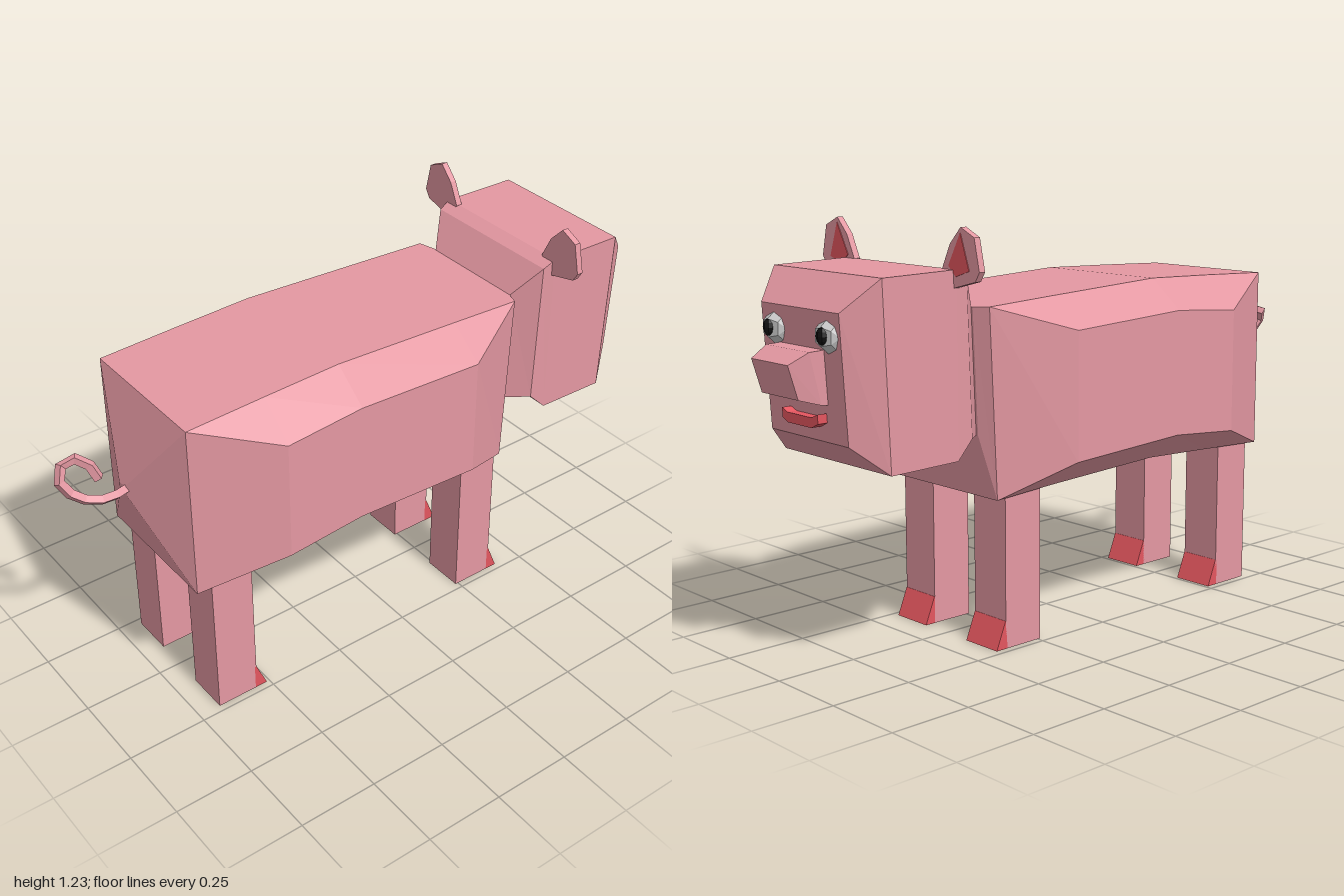
import * as THREE from 'three';

const mat = (color) => new THREE.MeshStandardMaterial({ color, flatShading: true });
const pink = mat(0xe498a2), red = mat(0xe4565f), white = mat(0xdedada), black = mat(0x111111);

function add(parent, name, geometry, material) {
  const mesh = new THREE.Mesh(geometry, material);
  mesh.name = name;
  parent.add(mesh);
  return mesh;
}

// Skin a list of rings running towards +x, each counter-clockwise seen from +x
function loft(rings) {
  const pos = [];
  const tri = (a, b, c) => {
    const t = new THREE.Triangle(...[a, b, c].map((p) => new THREE.Vector3(...p)));
    if (t.getArea() > 1e-7) pos.push(...a, ...b, ...c);
  };
  const n = rings[0].length;
  for (let i = 0; i < rings.length - 1; i++) {
    const a = rings[i], b = rings[i + 1];
    for (let j = 0; j < n; j++) {
      const k = (j + 1) % n;
      tri(a[j], a[k], b[k]);
      tri(a[j], b[k], b[j]);
    }
  }
  const first = rings[0], last = rings[rings.length - 1];
  for (let j = 1; j < n - 1; j++) {
    tri(first[0], first[j + 1], first[j]);
    tri(last[0], last[j], last[j + 1]);
  }
  const g = new THREE.BufferGeometry();
  g.setAttribute('position', new THREE.Float32BufferAttribute(pos, 3));
  g.computeVertexNormals();
  return g;
}

// Rectangular ring; top and bottom may sit at different x
const rect = (xt, yt, xb, yb, w, z = 0) => [
  [xt, yt, z - w], [xt, yt, z + w], [xb, yb, z + w], [xb, yb, z - w],
];

// Eight-point ring with bulging flanks; without flanks they fold into the corners
function torso(xt, yt, xb, yb, w, su = null, sl = null, sw = 0.335) {
  const z = -0.01, x = (xt + xb) / 2;
  const side = (s) => (su === null
    ? [[xt, yt, z + s * w], [xb, yb, z + s * w]]
    : [[x, su, z + s * sw], [x, sl, z + s * sw]]);
  const [lu, ll] = side(1), [ru, rl] = side(-1);
  return [[xt, yt, z - w], [xt, yt, z + w], lu, ll, [xb, yb, z + w], [xb, yb, z - w], rl, ru];
}

// Extrude a (z, y) outline along +x from x0
function plate(points, x0, depth) {
  const shape = new THREE.Shape(points.map(([z, y]) => new THREE.Vector2(-z, y)));
  const g = new THREE.ExtrudeGeometry(shape, { depth, bevelEnabled: false });
  return g.rotateY(Math.PI / 2).translate(x0, 0, 0);
}

export function createModel() {
  const pig = new THREE.Group();
  pig.name = 'pig';

  // Body, from the pointed rump to the neck opening
  add(pig, 'body', loft([
    torso(-0.805, 0.745, -0.805, 0.72, 0.015),
    torso(-0.72, 1.012, -0.72, 0.453, 0.225),
    torso(-0.47, 1.022, -0.47, 0.465, 0.225, 0.922, 0.542),
    torso(-0.22, 1.03, -0.22, 0.476, 0.225, 0.942, 0.563),
    torso(0.2, 1.01, 0.2, 0.459, 0.225, 0.922, 0.543),
    torso(0.435, 0.998, 0.41, 0.447, 0.225),
    torso(0.453, 0.995, 0.437, 0.63, 0.175),
  ]), pink);

  // Neck flaring into the boxy head with a bevelled face
  add(pig, 'head', loft([
    rect(0.45, 0.995, 0.435, 0.63, 0.175),
    rect(0.52, 1.09, 0.505, 0.64, 0.24),
    rect(0.56, 1.11, 0.56, 0.585, 0.245),
    rect(0.81, 1.105, 0.79, 0.58, 0.245),
    rect(0.9, 1.015, 0.878, 0.66, 0.178),
  ]), pink);

  // Snout
  add(pig, 'snout', loft([
    rect(0.88, 0.912, 0.87, 0.762, 0.1),
    rect(0.94, 0.91, 0.905, 0.765, 0.1),
    rect(0.998, 0.88, 0.968, 0.784, 0.085),
  ]), pink);

  // Smiling mouth
  add(pig, 'mouth', plate([
    [0.075, 0.738], [0.075, 0.712], [0.05, 0.7], [-0.06, 0.7],
    [-0.09, 0.714], [-0.09, 0.74], [-0.06, 0.728], [0.05, 0.728],
  ], 0.87, 0.042), red);

  const earOutline = [[0.275, 1.225], [0.33, 1.2], [0.35, 1.11], [0.333, 1.083],
    [0.243, 1.06], [0.197, 1.11], [0.23, 1.178]];
  const innerOutline = [[0.275, 1.21], [0.31, 1.11], [0.255, 1.092], [0.225, 1.12]];
  for (const s of [1, -1]) {
    const flip = (pts) => pts.map(([z, y]) => [s * z, y]);
    const label = s > 0 ? 'near' : 'far';

    // Ears with red inner patches
    add(pig, label + 'Ear', plate(flip(earOutline), 0.55, 0.02), pink);
    add(pig, label + 'InnerEar', plate(flip(innerOutline), 0.568, 0.004), red);

    // Eyes
    const eye = add(pig, label + 'Eye', new THREE.SphereGeometry(0.05, 6, 4), white);
    eye.geometry.rotateX(Math.PI / 2).rotateZ(Math.PI / 2);
    eye.scale.x = 0.65;
    eye.position.set(0.89, 0.95, s * 0.121);
    const pupil = add(pig, label + 'Pupil', new THREE.SphereGeometry(0.025, 8, 6), black);
    pupil.scale.set(0.6, 1, 0.8);
    pupil.position.set(0.914, 0.952, s * 0.123);

    // Legs with wedge-shaped red hooves
    for (const [x, end] of [[-0.68, 'Back'], [0.24, 'Front']]) {
      const leg = new THREE.Group();
      leg.name = label + end + 'Leg';
      leg.position.set(x, 0, s * 0.161);
      add(leg, 'shank', new THREE.BoxGeometry(0.135, 0.52, 0.135).translate(0.0675, 0.26, 0), pink);
      add(leg, 'hoof', loft([
        rect(0.13, 0.083, 0.13, 0, 0.0675),
        rect(0.136, 0.083, 0.17, 0, 0.0675),
      ]), red);
      pig.add(leg);
    }
  }

  // Curly tail
  const path = new THREE.CatmullRomCurve3([
    [-0.79, 0.735, 0], [-0.87, 0.738, 0.015], [-0.945, 0.763, -0.01], [-0.982, 0.825, -0.035],
    [-0.945, 0.862, -0.055], [-0.9, 0.855, -0.03], [-0.875, 0.8, -0.005],
  ].map((p) => new THREE.Vector3(...p)));
  const tail = new THREE.TubeGeometry(path, 9, 0.016, 4);
  add(pig, 'tail', tail, Object.assign(pink.clone(), { side: THREE.DoubleSide }));

  return pig;
}
